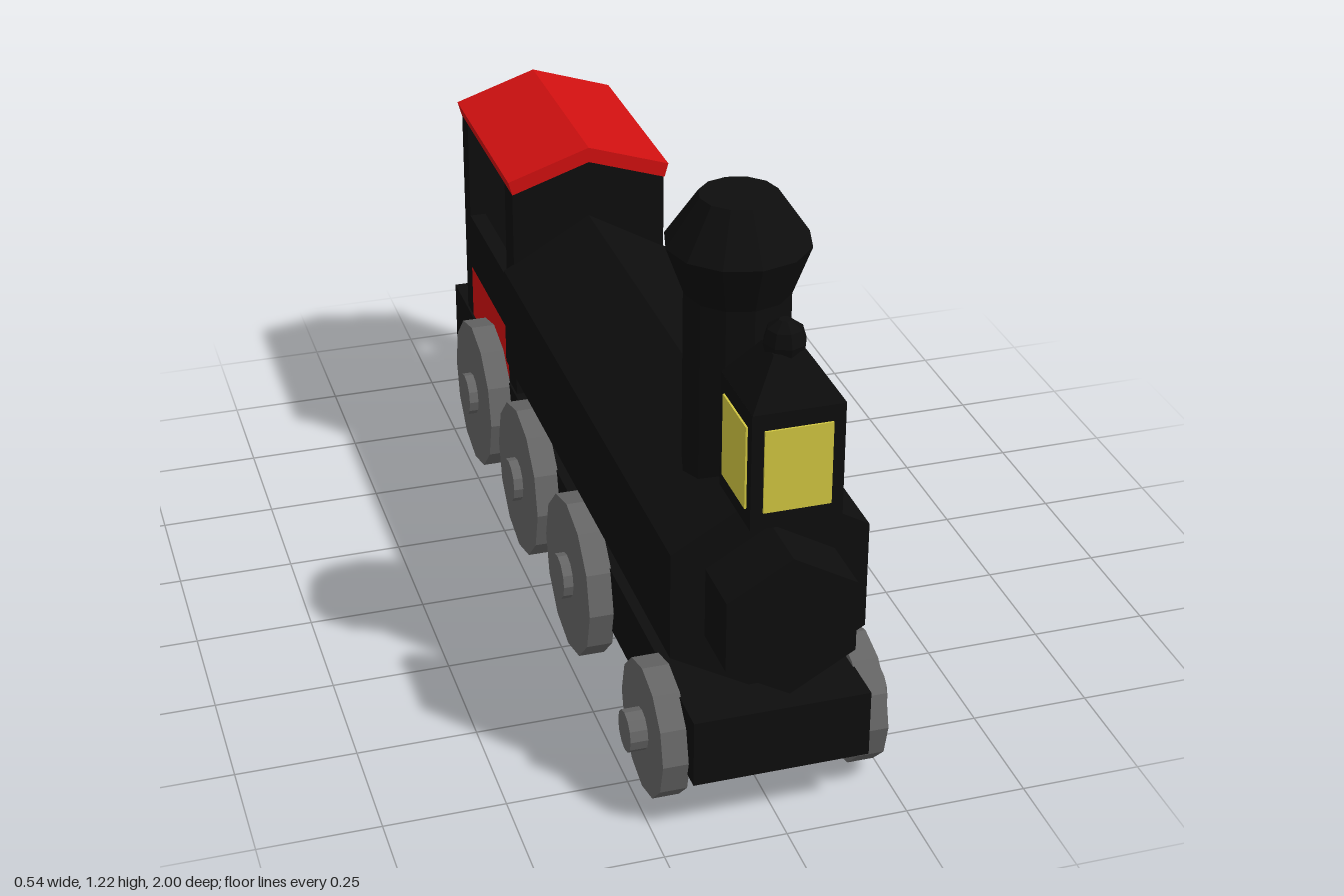
import * as THREE from 'three';

const mat = (name, color) => {
  const m = new THREE.MeshStandardMaterial({ color });
  m.name = name;
  return m;
};

export function createModel() {
  const black = mat('black', 0x0d0d0d);
  const red = mat('red', 0xd01010);
  const grey = mat('grey', 0x656565);
  const yellow = mat('yellow', 0xd0c540);

  const model = new THREE.Group();
  model.name = 'locomotive';

  // Faceted mesh helper
  const add = (name, geometry, material, x = 0, y = 0, z = 0, parent = model) => {
    const g = geometry.index ? geometry.toNonIndexed() : geometry;
    g.computeVertexNormals();
    const mesh = new THREE.Mesh(g, material);
    mesh.name = name;
    mesh.position.set(x, y, z);
    parent.add(mesh);
    return mesh;
  };
  // Box given by its limits
  const box = (name, material, [x0, x1], [y0, y1], [z0, z1], parent = model) =>
    add(name, new THREE.BoxGeometry(x1 - x0, y1 - y0, z1 - z0), material,
      (x0 + x1) / 2, (y0 + y1) / 2, (z0 + z1) / 2, parent);
  // Outline in x and y, extruded from z0 to z1
  const slab = (name, material, points, z0, z1, parent = model) => {
    const shape = new THREE.Shape(points.map(p => new THREE.Vector2(...p)));
    const g = new THREE.ExtrudeGeometry(shape, { depth: z1 - z0, bevelEnabled: false });
    return add(name, g, material, 0, 0, z0, parent);
  };

  // Chassis
  box('chassis', black, [-0.18, 0.18], [0.13, 0.274], [-1, 0.96]);

  // Hexagonal boiler and its front door, ridge upward
  const hexPrism = (r, z0, z1) =>
    new THREE.CylinderGeometry(r, r, z1 - z0, 6).rotateX(Math.PI / 2).translate(0, 0, (z0 + z1) / 2);
  add('boiler', hexPrism(0.23, -0.4, 0.865), black, 0, 0.482, 0);
  add('boilerDoor', hexPrism(0.15, 0.8, 0.992), black, 0, 0.48, 0);

  // Chimney with flared top
  const chimney = [[0, 0.6], [0.105, 0.6], [0.105, 1.03], [0.142, 1.13], [0.077, 1.225], [0, 1.225]];
  add('chimney', new THREE.LatheGeometry(chimney.map(p => new THREE.Vector2(...p)), 12),
    black, -0.004, 0, 0.655);

  // Lantern
  const lantern = new THREE.Group();
  lantern.name = 'lantern';
  lantern.position.set(0, 0, 0.91);
  model.add(lantern);
  box('lanternBody', black, [-0.09, 0.09], [0.71, 0.95], [-0.088, 0.088], lantern);
  add('lanternRoof', new THREE.CylinderGeometry(0.045, 0.127, 0.085, 4).rotateY(Math.PI / 4),
    black, 0, 0.9925, 0, lantern);
  const finial = [[0, 1.02], [0.036, 1.02], [0.042, 1.045], [0.034, 1.072], [0.012, 1.088], [0, 1.088]];
  add('lanternFinial', new THREE.LatheGeometry(finial.map(p => new THREE.Vector2(...p)), 8),
    black, 0, 0, 0, lantern);
  for (let i = 0; i < 4; i++) {
    const pane = add('lanternPane', new THREE.BoxGeometry(0.132, 0.17, 0.005)
      .translate(0, 0.83, i % 2 ? 0.0915 : 0.0895), yellow, 0, 0, 0, lantern);
    pane.rotation.y = i * Math.PI / 2;
  }

  // Cab
  const cab = new THREE.Group();
  cab.name = 'cab';
  model.add(cab);
  const W = 0.177, floor = 0.278, eave = 0.795, ridge = 0.852;
  const zBack = -0.875, zRear = -0.82, zFore = -0.465, zFront = -0.395;
  slab('cabFrontWall', black, [[-W, floor], [W, floor], [W, eave], [0, ridge], [-W, eave]],
    zFore, zFront, cab);
  // Rear frame with an open doorway
  slab('cabRearFrame', black, [
    [-W, floor], [-0.09, floor], [-0.09, 0.73], [-0.04, 0.77], [0.04, 0.77], [0.09, 0.73],
    [0.09, floor], [W, floor], [W, eave], [0, ridge], [-W, eave],
  ], zBack, zRear, cab);
  for (const s of [-1, 1]) {
    const wall = [Math.min(s * 0.14, s * W), Math.max(s * 0.14, s * W)];
    box('cabSill', black, wall, [0.408, 0.545], [zRear, zFore], cab);
    box('cabSidePanel', red, wall, [floor, 0.408], [zRear, zFore], cab);
  }
  // Gabled roof
  slab('cabRoof', red, [
    [-0.187, 0.818], [-0.178, 0.786], [0, 0.845], [0.178, 0.786], [0.187, 0.818], [0, 0.88],
  ], -0.878, -0.39, cab);

  // Wheels: z, y, radius, hub radius, hub end
  const wheels = [
    [0.79, 0.16, 0.14, 0.043, 0.268],
    [0.24, 0.18, 0.175, 0.049, 0.253],
    [-0.182, 0.18, 0.175, 0.049, 0.253],
    [-0.605, 0.18, 0.175, 0.049, 0.253],
  ];
  const disc = (r, x0, x1) => new THREE.CylinderGeometry(r, r, x1 - x0, 12).rotateZ(Math.PI / 2);
  for (const [z, y, r, hubR, hubEnd] of wheels) {
    for (const s of [-1, 1]) {
      add('wheel', disc(r, 0.177, 0.232), grey, s * 0.2045, y, z);
      add('wheelHub', disc(hubR, 0.2, hubEnd), grey, s * (0.2 + hubEnd) / 2, y, z);
    }
  }
  return model;
}
